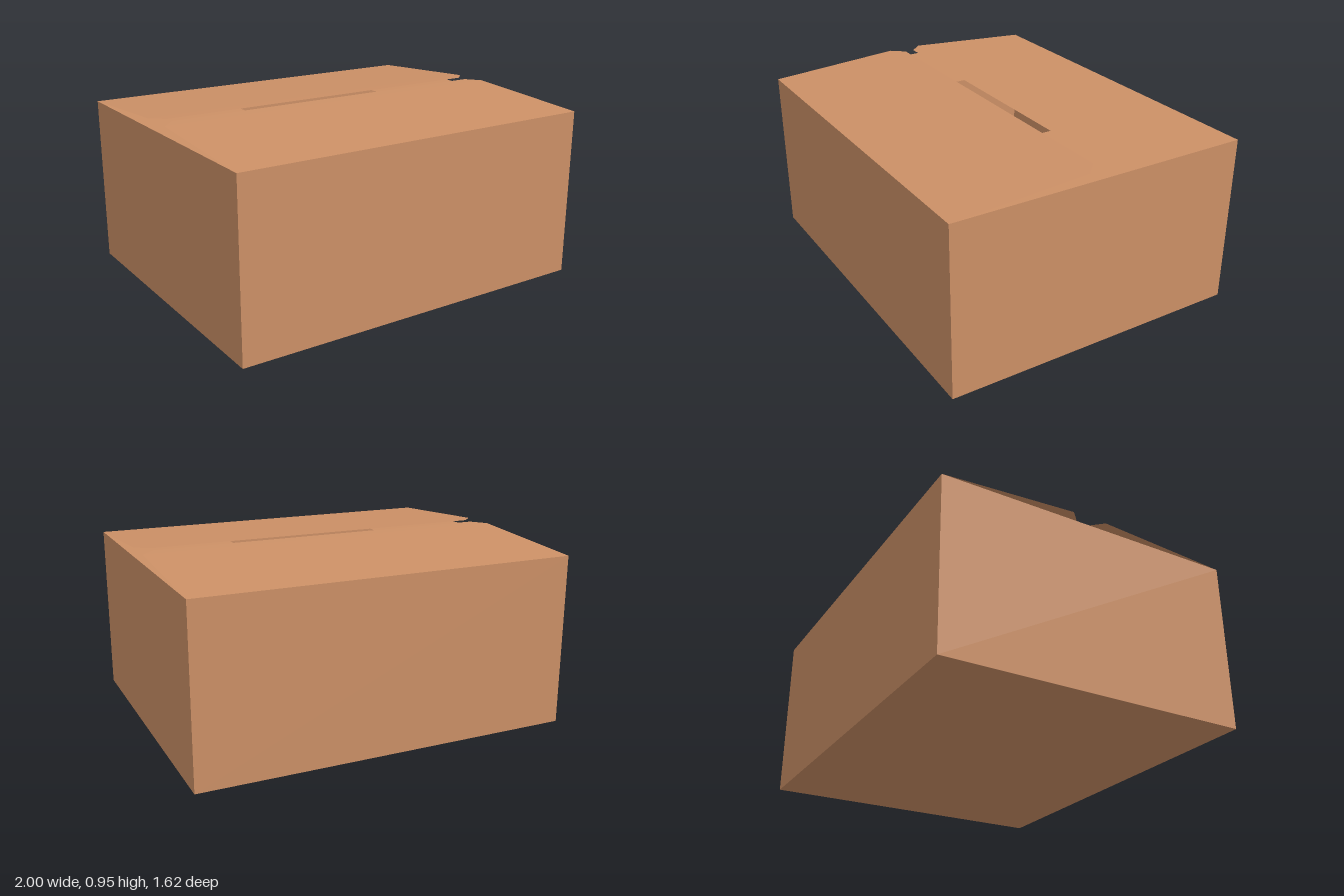
import * as THREE from 'three';

const W = 1, D = 0.81, H = 0.9; // half width, half depth, wall height

const cardboard = new THREE.MeshStandardMaterial({ color: 0xcc9066, side: THREE.DoubleSide, flatShading: true });

// Thin sheet from rows of [halfWidth, y, z], each running across x
function sheet(name, rows, turn = 0) {
  const positions = [], index = [];
  rows.forEach(([w, y, z], i) => {
    positions.push(-w, y, z, w, y, z);
    if (i) {
      const a = 2 * i - 2;
      index.push(a, a + 1, a + 3, a, a + 3, a + 2);
    }
  });
  const geometry = new THREE.BufferGeometry();
  geometry.setAttribute('position', new THREE.Float32BufferAttribute(positions, 3));
  geometry.setIndex(index);
  geometry.computeVertexNormals();
  const mesh = new THREE.Mesh(geometry, cardboard);
  mesh.name = name;
  mesh.rotation.y = turn;
  return mesh;
}

export function createModel() {
  const box = new THREE.Group();
  box.name = 'cardboardBox';

  // Floor
  box.add(sheet('floor', [[W, 0, D], [W, 0, -D]]));

  for (const [i, side] of ['front', 'back'].entries()) {
    const turn = i * Math.PI;
    // Long walls with a raised flap, creased and cut at its free corners
    box.add(sheet(side + 'Wall', [[W, 0, D], [W, H, D]], turn));
    box.add(sheet(side + 'Flap', [[W, H, D], [W, 0.947, 0.095], [0.93, 0.95, 0.025]], turn));
  }

  for (const [i, side] of ['left', 'right'].entries()) {
    const turn = Math.PI / 2 + i * Math.PI;
    // Short walls with a flat inner flap underneath
    box.add(sheet(side + 'Wall', [[D, 0, W], [D, H, W]], turn));
    box.add(sheet(side + 'InnerFlap', [[D, H, W], [D, H, 0.5], [D - 0.07, H, 0.43]], turn));
  }
  return box;
}
